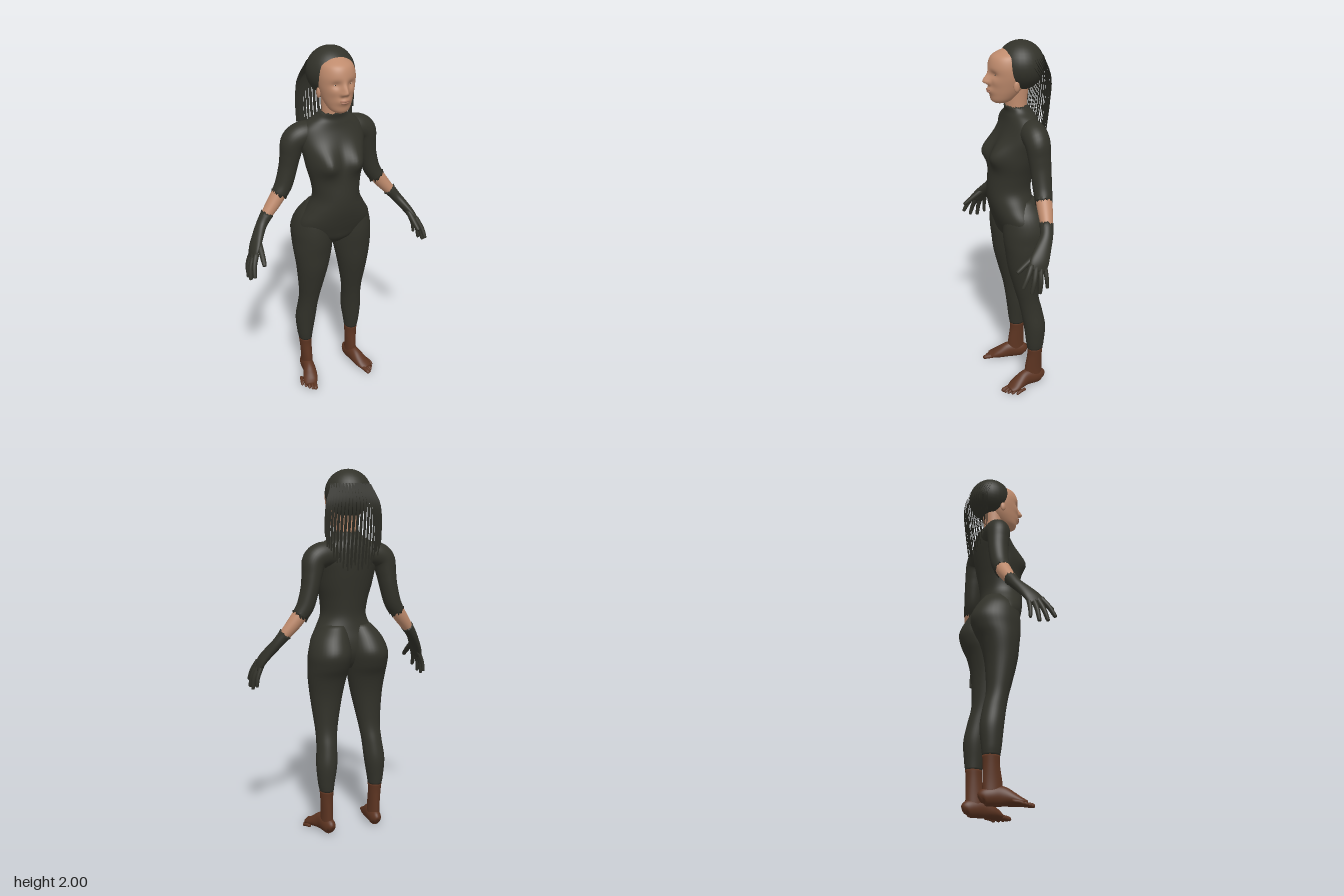
import * as THREE from 'three';

const X = new THREE.Vector3(1, 0, 0), Y = new THREE.Vector3(0, 1, 0), Z = new THREE.Vector3(0, 0, 1);
const gauss = (d, s) => Math.exp(-(d * d) / (2 * s * s));

// Smooth closed loft through rows [x, y, z, halfWidth, halfDepth].
// flat keeps the rings level; otherwise they stand square to the path.
function loft(rows, { side = 1, flat = false, ref = Z, segs = 36, steps = 5, deform } = {}) {
  const path = new THREE.CatmullRomCurve3(rows.map(r => new THREE.Vector3(r[0] * side, r[1], r[2])), false, 'catmullrom');
  const radii = new THREE.CatmullRomCurve3(rows.map(r => new THREE.Vector3(r[3], r[4], 0)), false, 'catmullrom');
  const n = (rows.length - 1) * steps, pos = [], idx = [];
  for (let i = 0; i <= n; i++) {
    const c = path.getPoint(i / n), r = radii.getPoint(i / n);
    const t = flat ? Y : path.getTangent(i / n);
    const u = new THREE.Vector3().crossVectors(t, ref).normalize();
    const w = new THREE.Vector3().crossVectors(u, t);
    for (let j = 0; j < segs; j++) {
      const a = j / segs * Math.PI * 2;
      const p = c.clone().addScaledVector(u, r.x * Math.cos(a)).addScaledVector(w, r.y * Math.sin(a));
      if (deform) deform(p, Math.sin(a), i / n, j);
      pos.push(p.x, p.y, p.z);
      if (i < n) {
        const k = (j + 1) % segs, A = i * segs + j, B = i * segs + k;
        idx.push(A, A + segs, B, B, A + segs, B + segs);
      }
    }
  }
  // end caps
  for (const end of [0, 1]) {
    const c = path.getPoint(end), id = pos.length / 3, base = end * n * segs;
    pos.push(c.x, c.y, c.z);
    for (let j = 0; j < segs; j++) {
      const k = (j + 1) % segs;
      idx.push(id, base + (end ? k : j), base + (end ? j : k));
    }
  }
  const g = new THREE.BufferGeometry();
  g.setAttribute('position', new THREE.Float32BufferAttribute(pos, 3));
  g.setIndex(idx);
  g.computeVertexNormals();
  return g;
}

// Level rows [x, y, halfWidth, zFront, zBack] turned into loft rows
const level = rows => rows.map(([x, y, w, f, b]) => [x, y, (f + b) / 2, w, (f - b) / 2]);

// Ragged hem on one end of a loft
const ragged = (end, size) => (p, s, k, j) => { if (k === end) p.y += size * ((j * 7 % 5) / 2 - 1) * (j % 4 < 2 ? 1 : -0.6); };

export function createModel() {
  const model = new THREE.Group();
  const mat = (name, color, extra) => Object.assign(new THREE.MeshStandardMaterial({ color, ...extra }), { name });
  const suit = mat('dark suit', 0x32322a);
  const hair = mat('dark hair', 0x2b2b24, { side: THREE.DoubleSide });
  const skin = mat('skin', 0xbf8b6d);
  const brown = mat('brown footwear', 0x5c3421);
  const lip = mat('lips', 0xa46f5a);
  const white = mat('eye white', 0xc9b3a2);
  const iris = mat('iris', 0x3a2c24);
  const add = (name, geo, m) => {
    const mesh = new THREE.Mesh(geo, m);
    mesh.name = name;
    model.add(mesh);
    return mesh;
  };
  const ball = (name, m, p, s) => {
    const b = add(name, new THREE.SphereGeometry(1, 32, 20), m);
    b.position.set(...p);
    b.scale.set(...s);
    return b;
  };

  // Torso with bust, ending in a ragged collar
  const hem = ragged(1, 0.006);
  add('torso', loft(level([
    [0, 0.93, 0.05, 0.06, -0.05], [0, 0.97, 0.13, 0.1, -0.08], [0, 1.02, 0.2, 0.118, -0.1],
    [0, 1.08, 0.203, 0.138, -0.1], [0, 1.15, 0.163, 0.155, -0.085], [0, 1.22, 0.13, 0.16, -0.076],
    [0, 1.3, 0.136, 0.153, -0.084], [0, 1.38, 0.156, 0.142, -0.096], [0, 1.45, 0.168, 0.122, -0.106],
    [0, 1.52, 0.182, 0.093, -0.112], [0, 1.58, 0.175, 0.07, -0.11], [0, 1.62, 0.135, 0.06, -0.098],
    [0, 1.645, 0.095, 0.056, -0.08], [0, 1.67, 0.07, 0.062, -0.062]]), {
    flat: true, segs: 64, deform: (p, s, k, j) => {
      const bust = gauss(Math.abs(p.x) - 0.092, 0.045) * gauss(p.y - 1.42, p.y > 1.42 ? 0.055 : 0.04);
      if (s > 0) p.z += 0.06 * s * bust;
      hem(p, s, k, j);
    }
  }), suit);

  // Neck and face
  add('neck', loft(level([[0, 1.6, 0.06, 0.052, -0.06], [0, 1.68, 0.056, 0.055, -0.058], [0, 1.79, 0.06, 0.06, -0.07]]), { flat: true }), skin);
  add('face', loft(level([
    [0, 1.69, 0.025, 0.115, 0.05], [0, 1.705, 0.05, 0.134, 0.02], [0, 1.74, 0.07, 0.14, -0.02],
    [0, 1.78, 0.084, 0.143, -0.05], [0, 1.83, 0.095, 0.144, -0.06], [0, 1.88, 0.096, 0.147, -0.06],
    [0, 1.925, 0.083, 0.131, -0.05], [0, 1.95, 0.055, 0.092, -0.03], [0, 1.965, 0.03, 0.05, -0.01]]), {
    flat: true, segs: 96, steps: 8, deform: (p, s) => {
      if (s <= 0) return;
      const ax = Math.abs(p.x);
      const nose = 0.036 * gauss(p.x, 0.012) * gauss(p.y - 1.805, p.y > 1.805 ? 0.026 : 0.01);
      const nostril = 0.012 * gauss(ax - 0.015, 0.007) * gauss(p.y - 1.797, 0.008);
      const mouth = 0.014 * gauss(p.x, 0.024) * gauss(p.y - 1.758, 0.013);
      const socket = -0.012 * gauss(ax - 0.04, 0.017) * gauss(p.y - 1.842, 0.012);
      const cheek = 0.006 * gauss(ax - 0.055, 0.018) * gauss(p.y - 1.805, 0.016);
      p.z += s * (nose + nostril + mouth + socket + cheek);
    }
  }), skin);
  ball('upperLip', lip, [0, 1.762, 0.147], [0.026, 0.005, 0.011]);
  ball('lowerLip', lip, [0, 1.752, 0.145], [0.022, 0.006, 0.012]);

  // Rounded cap of hair
  ball('hairCap', suit, [0, 1.874, -0.026], [0.126, 0.126, 0.124]);

  // Long flat locks hanging behind the head, in two layers
  const lockCount = 21;
  for (const layer of [0, 1]) {
    for (let i = 0; i < lockCount; i++) {
      const a = ((i + layer * 0.5) / (lockCount - 0.5) * 2 - 1) * 1.4;
      const sx = Math.sin(a), cz = Math.cos(a), inset = layer * 0.014;
      const end = 1.63 - 0.17 * cz + 0.06 * ((i * 5 + layer * 3) % 7) / 7;
      const path = new THREE.CatmullRomCurve3([
        [0.112 * sx, 1.92 - 0.03 * layer, -0.03 - 0.112 * cz],
        [0.15 * sx, 1.82, -0.08 - 0.095 * cz + inset],
        [0.162 * sx, 1.7, -0.085 - 0.08 * cz + inset],
        [0.16 * sx, end, -0.09 - 0.045 * cz + inset]].map(p => new THREE.Vector3(...p)));
      const g = new THREE.PlaneGeometry(1, 1, 1, 14), P = g.attributes.position;
      for (let v = 0; v < P.count; v++) {
        const t = 0.5 - P.getY(v), c = path.getPoint(t);
        P.setXYZ(v, c.x + P.getX(v) * (0.017 - 0.008 * t), c.y, c.z);
      }
      g.computeVertexNormals();
      add('hairLock', g, hair);
    }
  }

  for (const side of [1, -1]) {
    const S = side > 0 ? 'left' : 'right';

    // Eyes and ears
    ball(S + 'Eye', white, [side * 0.04, 1.841, 0.113], [0.014, 0.006, 0.0125]);
    ball(S + 'Iris', iris, [side * 0.04, 1.841, 0.1215], [0.005, 0.005, 0.005]);
    ball(S + 'Ear', skin, [side * 0.09, 1.785, 0.028], [0.01, 0.028, 0.016]);

    // Leg and hip
    add(S + 'Leg', loft(level([
      [0.151, 0.25, 0.038, -0.018, -0.109], [0.152, 0.3, 0.046, -0.01, -0.115], [0.148, 0.4, 0.058, 0.002, -0.122],
      [0.14, 0.5, 0.057, 0.018, -0.105], [0.134, 0.58, 0.061, 0.035, -0.086], [0.13, 0.66, 0.072, 0.057, -0.083],
      [0.124, 0.78, 0.091, 0.087, -0.091], [0.12, 0.88, 0.107, 0.1, -0.115], [0.116, 0.95, 0.113, 0.109, -0.15],
      [0.112, 1.02, 0.115, 0.11, -0.166], [0.1, 1.1, 0.1, 0.1, -0.13], [0.075, 1.17, 0.065, 0.06, -0.08]]),
      { side, flat: true }), suit);

    // Ankle, foot and toes
    add(S + 'Ankle', loft(level([
      [0.147, 0.04, 0.032, 0, -0.108], [0.148, 0.12, 0.031, -0.005, -0.106],
      [0.15, 0.2, 0.034, -0.018, -0.105], [0.151, 0.25, 0.038, -0.018, -0.109]]), { side, flat: true }), brown);
    add(S + 'Foot', loft([
      [0.142, 0.032, -0.117, 0.014, 0.018], [0.143, 0.043, -0.1, 0.03, 0.041], [0.148, 0.05, -0.06, 0.036, 0.048],
      [0.154, 0.053, -0.01, 0.036, 0.05], [0.167, 0.039, 0.04, 0.042, 0.036], [0.183, 0.025, 0.08, 0.042, 0.022],
      [0.191, 0.018, 0.108, 0.03, 0.014]], { side, ref: Y }), brown);
    for (let i = 0; i < 5; i++) {
      const x = 0.176 + i * 0.014, z = 0.148 - i * 0.009 - i * i * 0.0022, r = i ? 0.009 : 0.013;
      add(S + 'Toe', loft([[x - 0.014, 0.02, z - 0.055, r, r], [x - 0.004, 0.016, z - 0.02, r, r],
        [x, r, z - 0.004, r * 0.95, r * 0.85], [x + 0.001, r, z + 0.004, r * 0.4, r * 0.4]],
        { side, ref: Y, segs: 12, steps: 3 }), brown);
    }

    // Sleeve, bare forearm and glove
    add(S + 'Sleeve', loft([
      [0.08, 1.55, -0.035, 0.066, 0.065], [0.155, 1.55, -0.037, 0.07, 0.069], [0.205, 1.52, -0.041, 0.066, 0.066],
      [0.222, 1.45, -0.046, 0.055, 0.06], [0.235, 1.38, -0.05, 0.049, 0.055], [0.26, 1.29, -0.05, 0.047, 0.05],
      [0.294, 1.23, -0.045, 0.043, 0.045]], { side, deform: ragged(1, 0.014) }), suit);
    add(S + 'Forearm', loft([
      [0.27, 1.27, -0.048, 0.041, 0.043], [0.32, 1.2, -0.041, 0.038, 0.04],
      [0.372, 1.137, -0.03, 0.03, 0.032], [0.4, 1.1, -0.02, 0.024, 0.028]], { side }), skin);
    add(S + 'Glove', loft([
      [0.37, 1.14, -0.03, 0.034, 0.036], [0.41, 1.09, -0.014, 0.028, 0.034], [0.45, 1.035, 0.022, 0.025, 0.043],
      [0.478, 0.99, 0.05, 0.021, 0.05], [0.495, 0.95, 0.065, 0.014, 0.044]], { side, deform: ragged(0, 0.007) }), suit);

    // Fingers and thumb: base, knuckle, tip
    const fingers = [
      [[0.482, 0.985, 0.092], [0.507, 0.93, 0.124], [0.516, 0.88, 0.15]],
      [[0.487, 0.975, 0.07], [0.516, 0.91, 0.09], [0.525, 0.85, 0.107]],
      [[0.487, 0.97, 0.047], [0.516, 0.905, 0.056], [0.524, 0.843, 0.063]],
      [[0.482, 0.975, 0.025], [0.508, 0.91, 0.022], [0.515, 0.86, 0.02]],
      [[0.452, 1.035, 0.035], [0.457, 0.985, 0.105], [0.463, 0.945, 0.158]]];
    fingers.forEach(([b, k, t], i) => {
      const r = i === 4 ? 0.015 : i === 3 ? 0.011 : 0.013;
      const tip = t.map((v, n) => v + (v - k[n]) * 0.08);
      add(S + (i === 4 ? 'Thumb' : 'Finger'), loft([[...b, r * 1.2, r * 1.2], [...k, r, r],
        [...t, r * 0.75, r * 0.75], [...tip, r * 0.3, r * 0.3]], { side, segs: 14, ref: X }), suit);
    });
  }
  return model;
}
